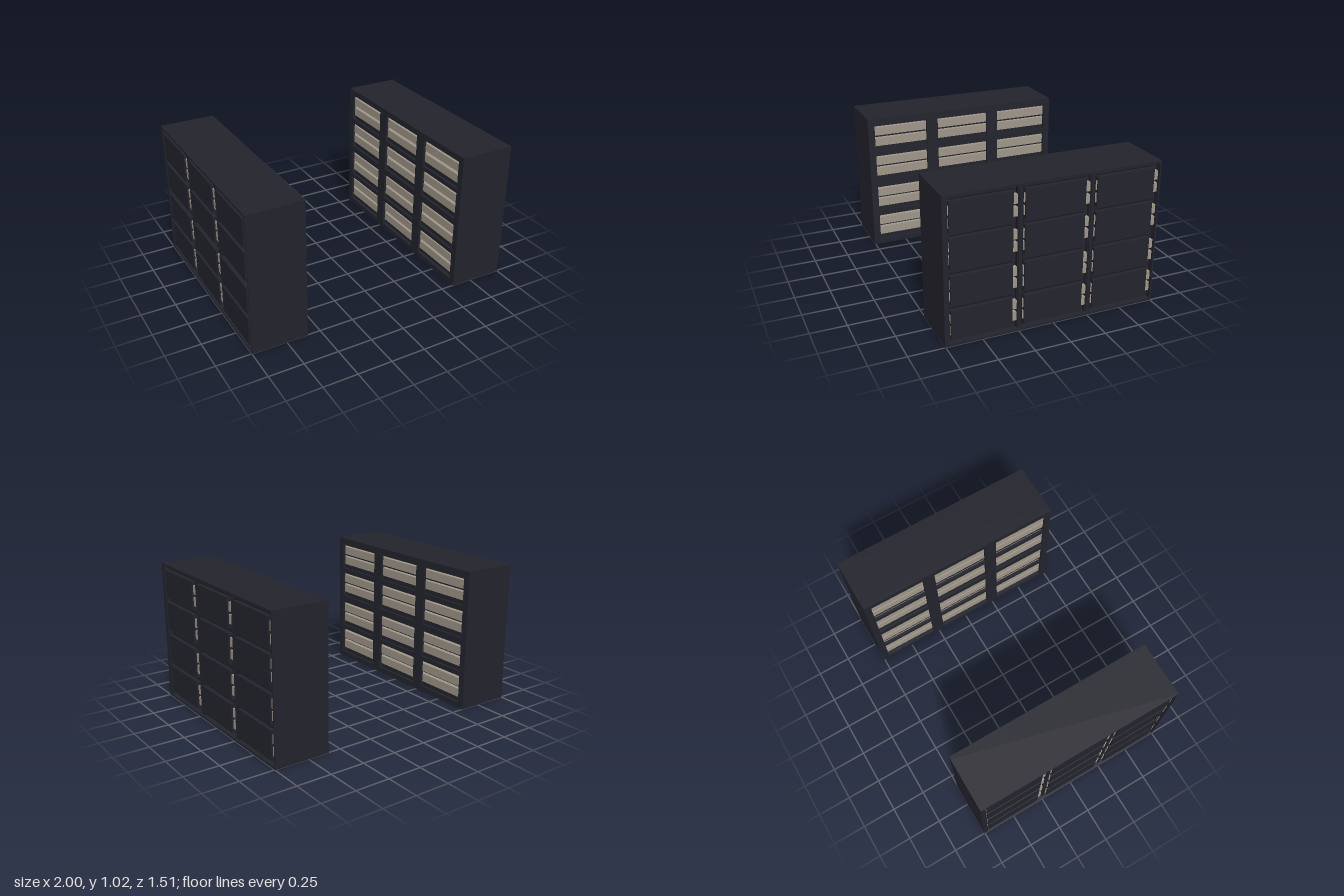
import * as THREE from 'three';

const dark = new THREE.MeshStandardMaterial({ name: 'charcoal', color: 0x23232d });
const trim = new THREE.MeshStandardMaterial({ name: 'black trim', color: 0x191920 });
const tan = new THREE.MeshStandardMaterial({ name: 'warm grey', color: 0x9f9688 });

const H = 1.025, HALF = 0.755, INNER = 0.595, OUTER = 1;
const COLUMNS = [-0.5, 0, 0.5];
const ROWS = [0.04, 0.279, 0.534, 0.773];
const ROW_H = 0.207;

// Box given by its limits on each axis
function slab(parent, name, material, [x0, x1], [y0, y1], [z0, z1]) {
  const mesh = new THREE.Mesh(new THREE.BoxGeometry(x1 - x0, y1 - y0, z1 - z0), material);
  mesh.position.set((x0 + x1) / 2, (y0 + y1) / 2, (z0 + z1) / 2);
  mesh.name = name;
  parent.add(mesh);
}

// Inner face plate with a window for every compartment
function facePlate() {
  const shape = new THREE.Shape();
  shape.moveTo(-HALF, 0).lineTo(HALF, 0).lineTo(HALF, H).lineTo(-HALF, H).closePath();
  for (const c of COLUMNS) for (const y of ROWS) {
    const hole = new THREE.Path();
    hole.moveTo(c - 0.205, y).lineTo(c - 0.205, y + ROW_H);
    hole.lineTo(c + 0.205, y + ROW_H).lineTo(c + 0.205, y).closePath();
    shape.holes.push(hole);
  }
  const geometry = new THREE.ExtrudeGeometry(shape, { depth: 0.02, bevelEnabled: false });
  const mesh = new THREE.Mesh(geometry, dark);
  mesh.rotation.y = Math.PI / 2;
  mesh.position.x = INNER;
  mesh.name = 'innerFrame';
  return mesh;
}

function cabinet() {
  const g = new THREE.Group();
  // Shell and solid core
  slab(g, 'core', dark, [0.645, 0.957], [0.01, H - 0.01], [-HALF + 0.01, HALF - 0.01]);
  slab(g, 'topBoard', dark, [INNER + 0.02, OUTER], [H - 0.015, H], [-HALF, HALF]);
  slab(g, 'bottomBoard', dark, [INNER + 0.02, OUTER], [0, 0.015], [-HALF, HALF]);
  slab(g, 'frontWall', dark, [INNER + 0.02, OUTER], [0.015, H - 0.015], [0.72, HALF]);
  slab(g, 'backWall', dark, [INNER + 0.02, OUTER], [0.015, H - 0.015], [-HALF, -0.745]);
  g.add(facePlate());

  // Paired posts between the columns, with a narrow seam
  for (const c of [-0.25, 0.25]) {
    slab(g, 'post', dark, [0.95, 0.985], [0.015, H - 0.015], [c + 0.003, c + 0.009]);
    slab(g, 'post', dark, [0.95, 0.985], [0.015, H - 0.015], [c - 0.025, c - 0.003]);
    slab(g, 'postSeam', trim, [0.95, 0.98], [0.015, H - 0.015], [c - 0.032, c + 0.009]);
  }

  // Compartments: two stacked drawers running through, covered by an outer panel
  for (const c of COLUMNS) for (const y of ROWS) {
    for (const dy of [0.033, 0.117])
      slab(g, 'drawer', tan, [0.612, 0.985], [y + dy, y + dy + 0.062], [c - 0.242, c + 0.218]);
    slab(g, 'outerPanel', dark, [0.955, 0.996], [y, y + ROW_H], [c - 0.208, c + 0.21]);
    // Dark reveal along the panel's top and bottom
    slab(g, 'panelReveal', trim, [0.95, 0.965], [y - 0.006, y + 0.002], [c - 0.214, c + 0.214]);
    slab(g, 'panelReveal', trim, [0.95, 0.965], [y + ROW_H - 0.002, y + ROW_H + 0.006], [c - 0.214, c + 0.214]);
  }
  return g;
}

export function createModel() {
  const model = new THREE.Group();
  model.name = 'cabinetPair';
  const left = cabinet();
  left.name = 'leftCabinet';
  const right = cabinet();
  right.name = 'rightCabinet';
  right.rotation.y = Math.PI; // the second one faces the other way
  model.add(left, right);
  return model;
}
